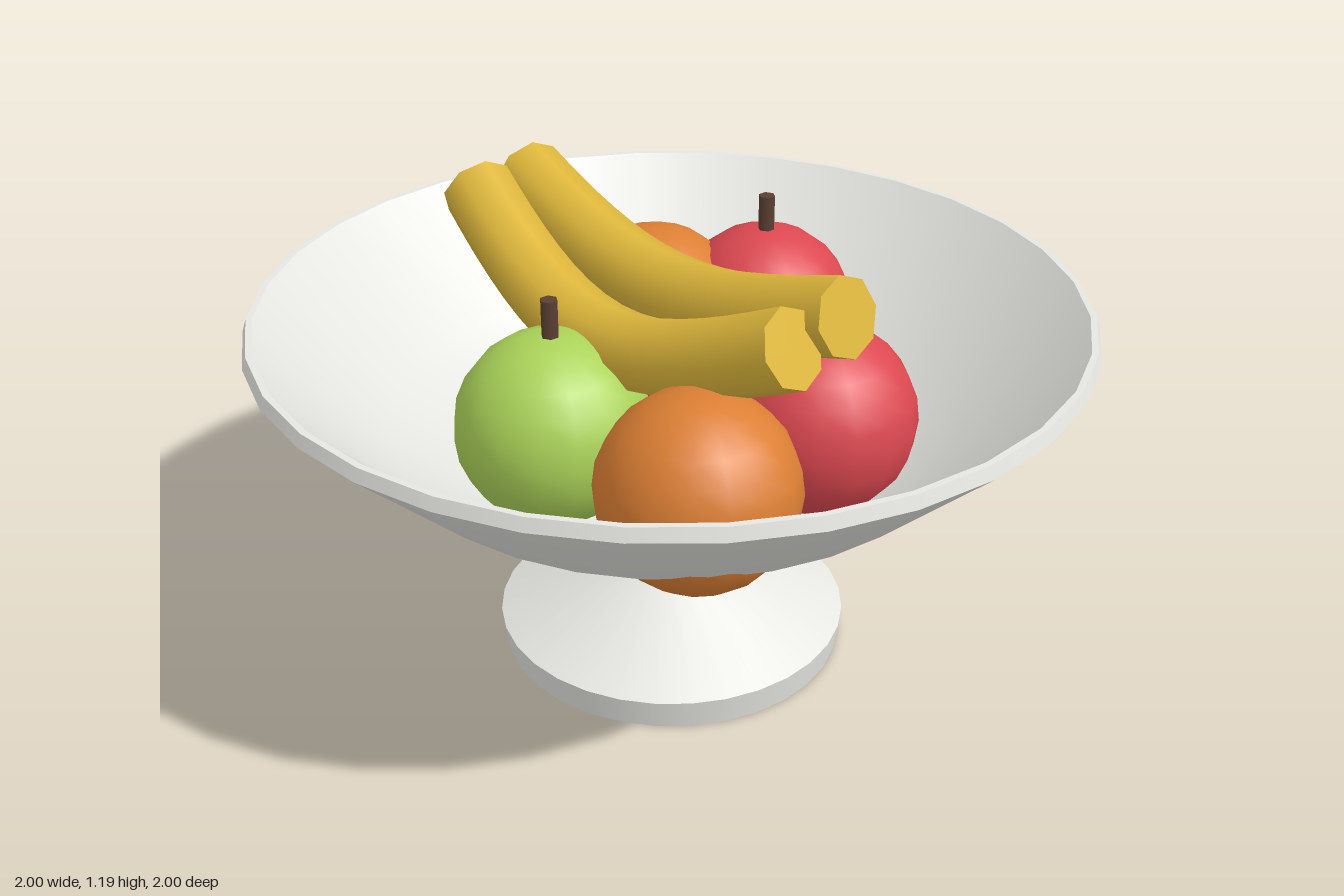
import * as THREE from 'three';

const mat = (name, color) => {
  const m = new THREE.MeshStandardMaterial({ color });
  m.name = name;
  return m;
};

export function createModel() {
  const white = mat('white ceramic', 0xe6e6e2);
  const red = mat('apple red', 0xdc4850);
  const green = mat('apple green', 0xabd359);
  const orange = mat('orange peel', 0xdc7f34);
  const yellow = mat('banana yellow', 0xdfb83c);
  const brown = mat('stem brown', 0x5c4033);

  const model = new THREE.Group();
  model.name = 'fruitBowl';

  const add = (parent, name, geometry, material, x = 0, y = 0, z = 0) => {
    const mesh = new THREE.Mesh(geometry, material);
    mesh.name = name;
    mesh.position.set(x, y, z);
    parent.add(mesh);
    return mesh;
  };

  // Each ceramic surface is its own lathe, so edges between them stay sharp
  const ceramic = {
    footBottom: [[0, 0], [0.43, 0]],
    footEdge: [[0.43, 0], [0.44, 0.075]],
    footSlope: [[0.44, 0.075], [0.14, 0.22]],
    stem: [[0.14, 0.22], [0.11, 0.41]],
    bowlUnderside: [[0, 0.4], [0.35, 0.4]],
    bowlOutside: [[0.35, 0.4], [0.71, 0.62], [1, 0.9]],
    bowlRimEdge: [[1, 0.9], [0.99, 0.93]],
    bowlRimTop: [[0.99, 0.93], [0.975, 0.93]],
    bowlInside: [[0.975, 0.93], [0.69, 0.65], [0.34, 0.435], [0, 0.43]],
  };
  for (const [name, profile] of Object.entries(ceramic)) {
    const points = profile.map(([r, y]) => new THREE.Vector2(r, y));
    add(model, name, new THREE.LatheGeometry(points, 32), white);
  }

  // Round fruit, apples with a short stem
  const fruit = (name, material, x, z, hasStem) => {
    const group = new THREE.Group();
    group.name = name;
    group.position.set(x, 0.72, z);
    add(group, name + 'Body', new THREE.SphereGeometry(0.232, 16, 12), material);
    if (hasStem) add(group, name + 'Stem', new THREE.CylinderGeometry(0.021, 0.021, 0.12, 6), brown, 0, 0.26, 0);
    model.add(group);
  };
  fruit('backRedApple', red, -0.14, -0.43, true);
  fruit('leftRedApple', red, 0.36, -0.145, true);
  fruit('greenApple', green, 0, 0.355, true);
  fruit('backOrange', orange, -0.32, -0.21, false);
  fruit('frontOrange', orange, 0.43, 0.285, false);

  // Bananas: bent eight-sided tubes with flat ends
  const banana = (name, start, end, ctrlY, ctrlZ) => {
    const segments = 16, sides = 8;
    const curve = new THREE.CubicBezierCurve3(
      new THREE.Vector3(...start),
      new THREE.Vector3(-0.1, ctrlY, ctrlZ),
      new THREE.Vector3(0.1, ctrlY, ctrlZ),
      new THREE.Vector3(...end)
    );
    const group = new THREE.Group();
    group.name = name;
    const tube = new THREE.TubeGeometry(curve, segments, 0.092, sides);
    add(group, name + 'Body', tube, yellow);
    const pos = tube.attributes.position;
    for (const ring of [0, segments]) {
      const point = (j) => new THREE.Vector3().fromBufferAttribute(pos, ring * (sides + 1) + j);
      const centre = curve.getPointAt(ring / segments);
      const outward = curve.getTangentAt(ring / segments).multiplyScalar(ring ? 1 : -1);
      const corners = [];
      for (let j = 0; j < sides; j++) {
        const a = point(j), b = point(j + 1);
        const facing = a.clone().sub(centre).cross(b.clone().sub(centre)).dot(outward);
        corners.push(centre, ...(facing > 0 ? [a, b] : [b, a]));
      }
      const cap = new THREE.BufferGeometry().setFromPoints(corners);
      cap.computeVertexNormals();
      add(group, name + (ring ? 'LeftEnd' : 'RightEnd'), cap, yellow);
    }
    model.add(group);
  };
  banana('backBanana', [-0.57, 1.08, 0], [0.575, 1.1, 0], 0.937, 0.04);
  banana('frontBanana', [-0.575, 1.075, 0.15], [0.565, 1.07, 0.145], 0.837, 0.23);

  return model;
}
